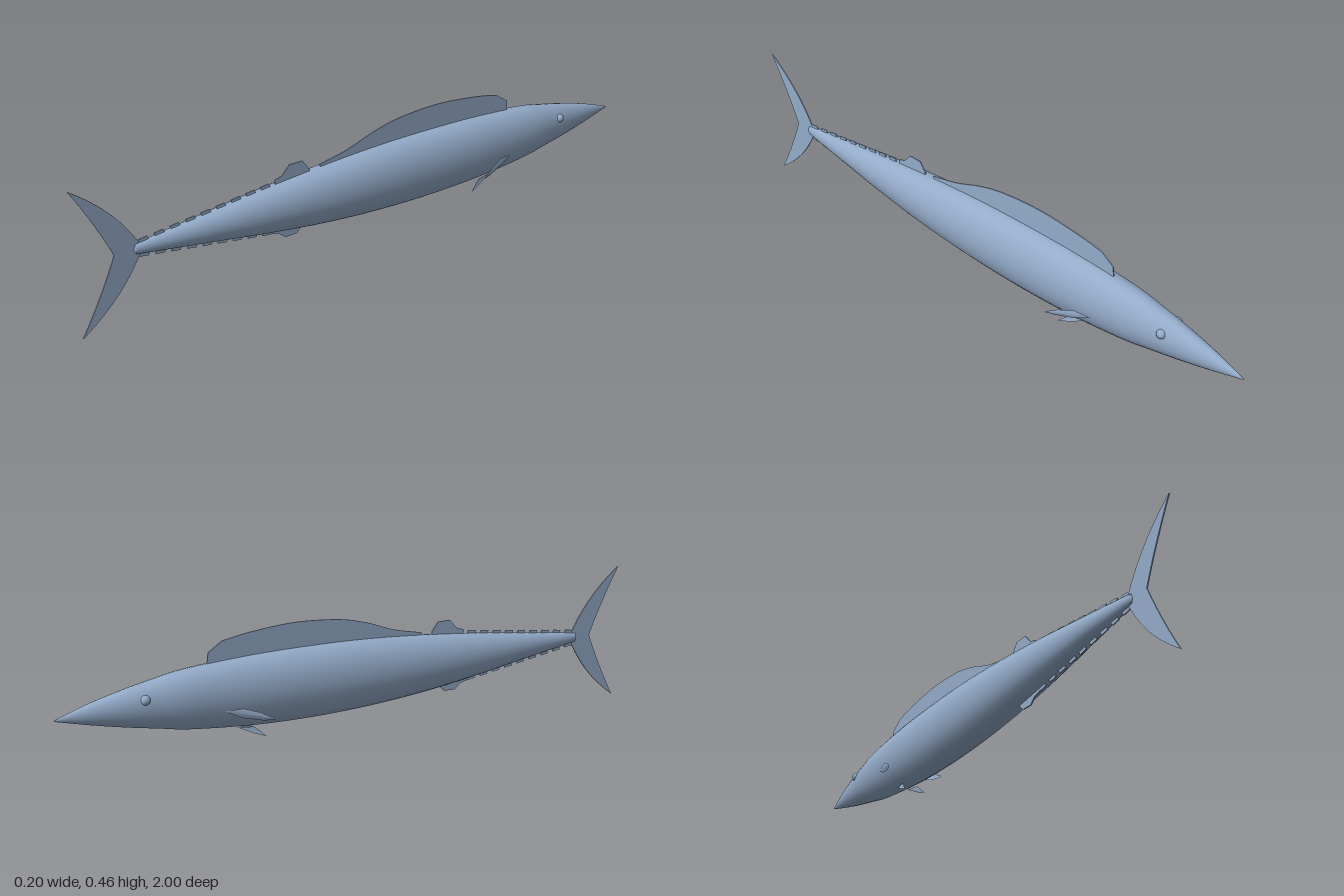
import * as THREE from 'three';
import { mergeVertices } from 'three/addons/utils/BufferGeometryUtils.js';

const skin = new THREE.MeshStandardMaterial({ color: 0x93abc9 });
skin.name = 'steel blue skin';
const finSkin = skin.clone();
finSkin.side = THREE.DoubleSide;

// Body stations from nose to tail root: z, half width, top y, bottom y
const STATIONS = [
  [-1, 0.001, 0.232, 0.228], [-0.9, 0.021, 0.264, 0.202], [-0.8, 0.037, 0.289, 0.179],
  [-0.7, 0.05, 0.309, 0.159], [-0.6, 0.06, 0.325, 0.14], [-0.4, 0.07, 0.337, 0.12],
  [-0.2, 0.073, 0.339, 0.113], [0, 0.072, 0.334, 0.117], [0.2, 0.066, 0.32, 0.131],
  [0.4, 0.054, 0.3, 0.155], [0.6, 0.036, 0.275, 0.184], [0.8, 0.014, 0.249, 0.212],
  [0.82, 0.009, 0.244, 0.217], [0.825, 0.0005, 0.231, 0.23],
];

function bodyGeometry() {
  const upper = new THREE.CatmullRomCurve3(STATIONS.map(([z, w, t]) => new THREE.Vector3(w, t, z)), false, 'catmullrom', 0.5);
  const lower = new THREE.CatmullRomCurve3(STATIONS.map(([z, w, , b]) => new THREE.Vector3(w, b, z)), false, 'catmullrom', 0.5);
  let geo = new THREE.CylinderGeometry(1, 1, 1, 24, (STATIONS.length - 1) * 4, true);
  geo.rotateX(-Math.PI / 2);
  geo.deleteAttribute('uv');
  geo.deleteAttribute('normal');
  const pos = geo.attributes.position;
  for (let i = 0; i < pos.count; i++) {
    const t = THREE.MathUtils.clamp(pos.getZ(i) + 0.5, 0, 1);
    const a = upper.getPoint(t), b = lower.getPoint(t);
    pos.setXYZ(i, pos.getX(i) * Math.max(a.x, 0.0005), (a.y + b.y) / 2 + pos.getY(i) * (a.y - b.y) / 2, a.z);
  }
  geo = mergeVertices(geo, 1e-5);
  geo.computeVertexNormals();
  return geo;
}

// Thin upright plate on the centre plane, drawn as (z, y)
function plate(shape, thickness = 0.004) {
  const geo = new THREE.ExtrudeGeometry(shape, { depth: thickness, bevelEnabled: false, curveSegments: 12 });
  geo.translate(0, 0, -thickness / 2);
  geo.rotateY(-Math.PI / 2);
  return geo;
}

const polygon = (pts) => new THREE.Shape(pts.map(([z, y]) => new THREE.Vector2(z, y)));

// Thin blade from an outline in space; side mirrors it across x
function blade(pts, side) {
  const geo = new THREE.BufferGeometry().setFromPoints(pts.map(([x, y, z]) => new THREE.Vector3(x * side, y, z)));
  const index = [];
  for (let i = 1; i < pts.length - 1; i++) index.push(...(side > 0 ? [0, i, i + 1] : [0, i + 1, i]));
  geo.setIndex(index);
  geo.computeVertexNormals();
  return geo;
}

export function createModel() {
  const fish = new THREE.Group();
  fish.name = 'fish';
  const add = (name, geo, mat = skin, parent = fish) => {
    const mesh = new THREE.Mesh(geo, mat);
    mesh.name = name;
    parent.add(mesh);
    return mesh;
  };

  add('body', bodyGeometry());

  // Long dorsal fin
  const dorsal = new THREE.Shape();
  dorsal.moveTo(0.2, 0.31);
  dorsal.lineTo(0.2, 0.328);
  dorsal.splineThru([[0.1, 0.35], [0, 0.385], [-0.1, 0.408], [-0.25, 0.418], [-0.4, 0.407], [-0.49, 0.392]]
    .map(([z, y]) => new THREE.Vector2(z, y)));
  dorsal.lineTo(-0.535, 0.362);
  dorsal.lineTo(-0.54, 0.32);
  dorsal.lineTo(-0.25, 0.325);
  add('dorsalFin', plate(dorsal));

  // Small rear fins above and below
  add('secondDorsalFin', plate(polygon([[0.235, 0.3], [0.24, 0.325], [0.262, 0.355], [0.308, 0.355], [0.335, 0.325], [0.36, 0.318], [0.36, 0.295]])));
  add('analFin', plate(polygon([[0.265, 0.15], [0.275, 0.135], [0.29, 0.12], [0.33, 0.118], [0.352, 0.137], [0.39, 0.146], [0.39, 0.165]])));

  // Rows of finlets running to the tail
  const finlets = new THREE.Group();
  finlets.name = 'finlets';
  fish.add(finlets);
  for (let i = 0; i < 9; i++) {
    const z = 0.375 + i * 0.05;
    const k = (z - 0.4) / 0.4;
    const top = 0.3 - 0.051 * k, bottom = 0.155 + 0.057 * k;
    for (const [name, y, s] of [['upperFinlet', top, 1], ['lowerFinlet', bottom, -1]]) {
      const drop = -0.004 * s;
      add(name, plate(polygon([[z, y - 0.006 * s], [z + 0.006, y + 0.009 * s],
        [z + 0.035, y + 0.009 * s + drop], [z + 0.03, y - 0.009 * s]])), skin, finlets);
    }
  }

  // Forked tail
  const tail = new THREE.Shape();
  tail.moveTo(0.805, 0.245);
  tail.quadraticCurveTo(0.87, 0.37, 1, 0.46);
  tail.quadraticCurveTo(0.93, 0.34, 0.885, 0.231);
  tail.quadraticCurveTo(0.93, 0.12, 1, 0);
  tail.quadraticCurveTo(0.87, 0.09, 0.805, 0.217);
  add('tailFin', plate(tail));

  // Paired fins and eyes
  for (const [side, label] of [[1, 'left'], [-1, 'right']]) {
    add(label + 'PectoralFin', blade([[0.062, 0.197, -0.515], [0.073, 0.2, -0.46], [0.088, 0.184, -0.41],
      [0.1, 0.165, -0.375], [0.099, 0.158, -0.37], [0.086, 0.157, -0.4], [0.07, 0.17, -0.46]], side), finSkin);
    add(label + 'PelvicFin', blade([[0.018, 0.125, -0.455], [0.028, 0.122, -0.405], [0.031, 0.108, -0.39],
      [0.038, 0.089, -0.37], [0.03, 0.103, -0.41]], side), finSkin);
    const eye = add(label + 'Eye', new THREE.SphereGeometry(0.015, 16, 12));
    eye.position.set(0.036 * side, 0.26, -0.745);
  }
  return fish;
}
